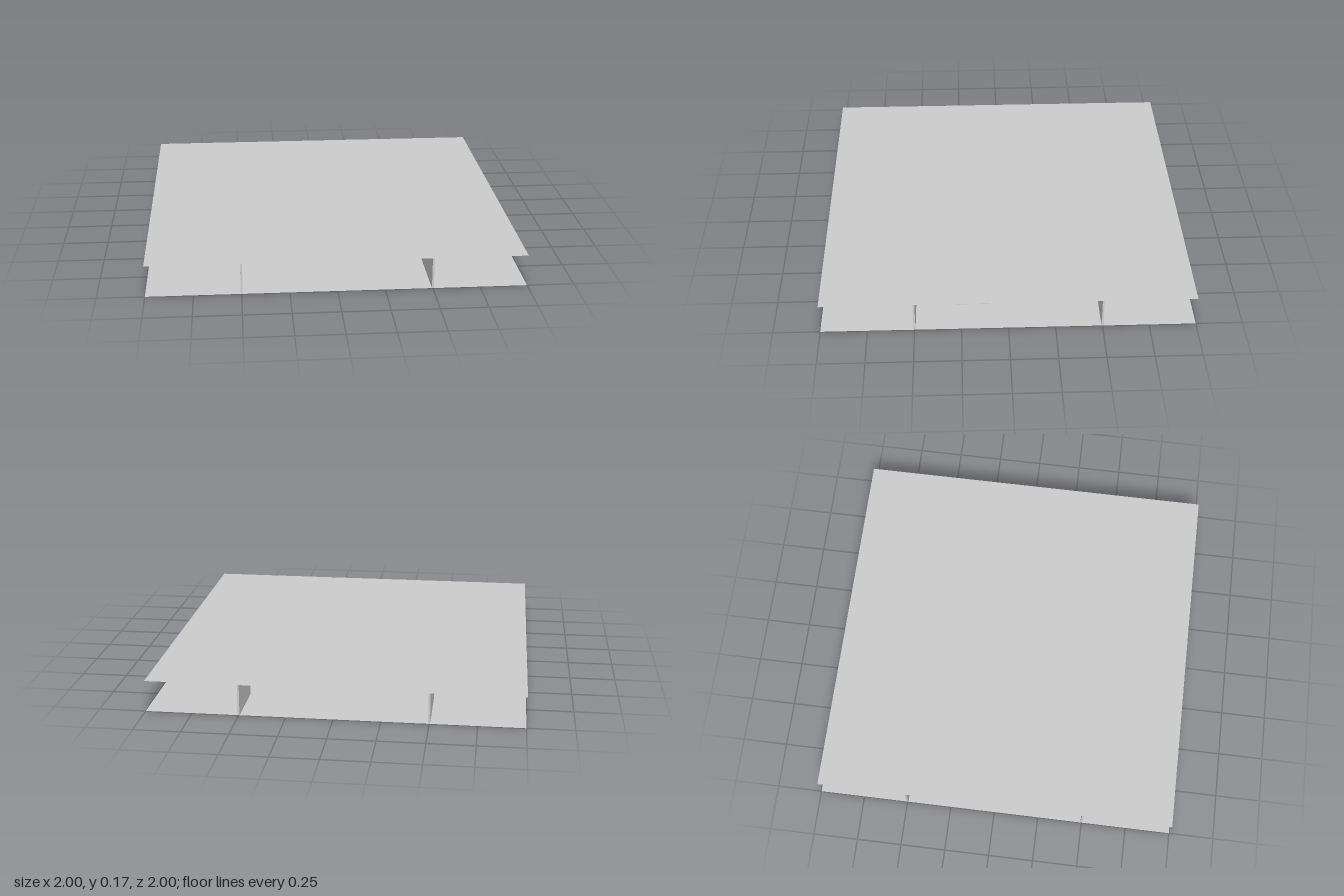
import * as THREE from 'three';

const H = 0.17;   // storey height
const T = 0.01;   // wall thickness

export function createModel() {
  const model = new THREE.Group();
  const grey = new THREE.MeshStandardMaterial({ color: 0xcccccc });
  const sheet = new THREE.MeshStandardMaterial({ color: 0xcccccc, side: THREE.DoubleSide });

  // box given by its extents on the plan, standing on the floor
  function block(name, x0, x1, z0, z1, h) {
    const mesh = new THREE.Mesh(new THREE.BoxGeometry(x1 - x0, h, z1 - z0), grey);
    mesh.position.set((x0 + x1) / 2, h / 2, (z0 + z1) / 2);
    mesh.name = name;
    model.add(mesh);
  }
  const wallAlongX = (z, x0, x1) => block('crossWall', x0, x1, z - T / 2, z + T / 2, H);
  const wallAlongZ = (x, z0, z1) => block('lengthWall', x - T / 2, x + T / 2, z0, z1, H);

  // paper-thin floor and ceiling
  for (const [name, y] of [['floor', 0], ['ceiling', H]]) {
    const mesh = new THREE.Mesh(new THREE.PlaneGeometry(2, 2).rotateX(-Math.PI / 2), sheet);
    mesh.position.y = y;
    mesh.name = name;
    model.add(mesh);
  }

  // walls reaching the open edges, each stopping at a doorway: [line, from, to]
  [[0.5, 0.465, 1], [0.5, -1, -0.625], [-0.5, 0.16, 1], [-0.5, -1, -0.56]]
    .forEach((w) => wallAlongX(...w));
  [[0.5, 0.6, 1], [-0.5, 0.6, 1], [0.5, -1, -0.7], [-0.5, -1, -0.63]]
    .forEach((w) => wallAlongZ(...w));

  // inner partitions
  wallAlongX(-0.24, -0.62, -0.14);
  [[0.16, 0.015, 0.45], [-0.145, -0.18, 0.3], [-0.5, -0.58, -0.19], [0.5, -0.55, -0.385]]
    .forEach((w) => wallAlongZ(...w));

  // low crates
  block('crate', -0.14, 0.06, -0.4, -0.2, 0.07);
  block('crate', 0.6, 0.8, 0.09, 0.3, 0.07);

  return model;
}
